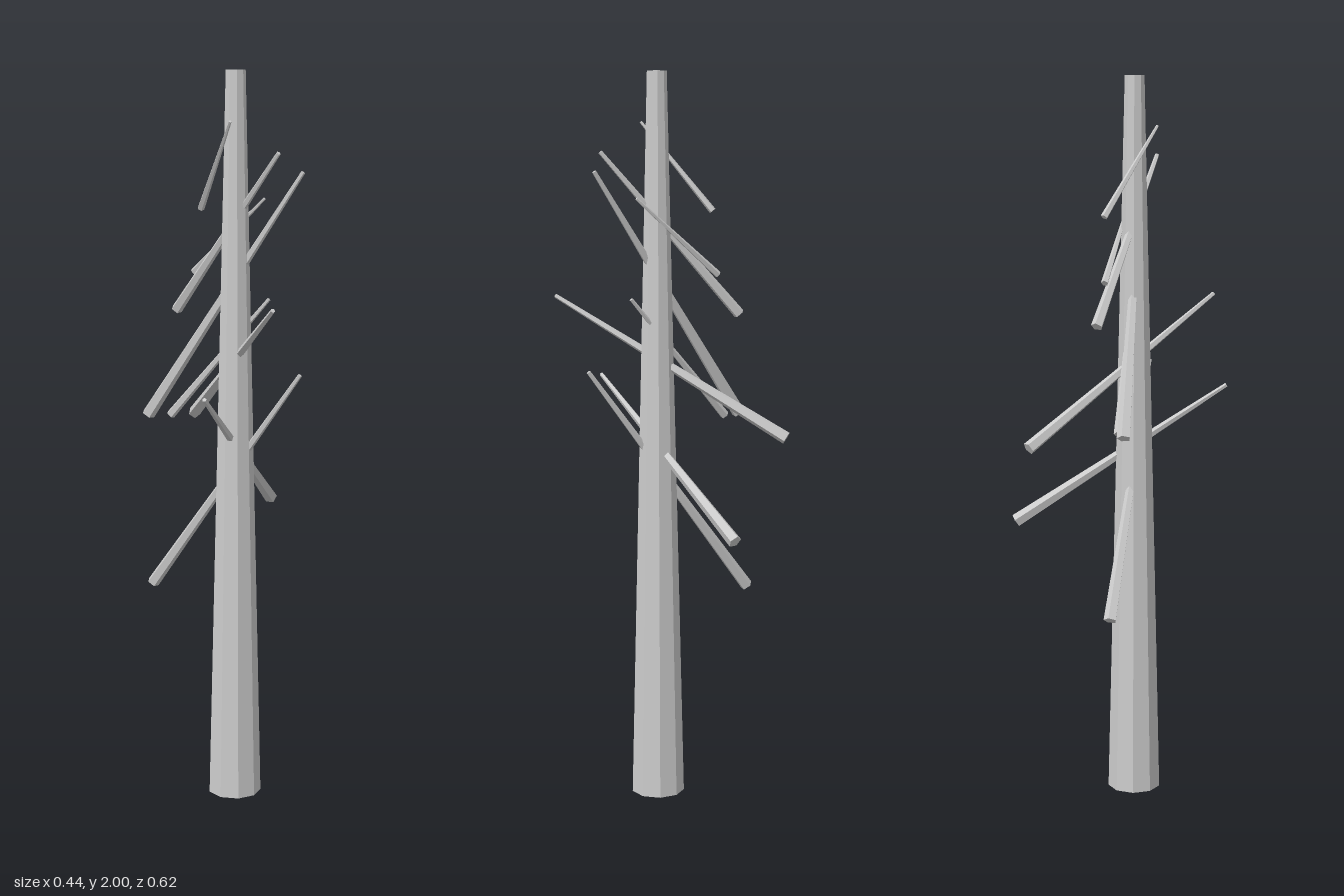
import * as THREE from 'three';

const AXIS = { x: 0.037, z: 0.036 };

// Tapered straight limb between two points, thick end first
function limb(from, to, rFrom, rTo, sides, material) {
  const a = new THREE.Vector3(...from);
  const b = new THREE.Vector3(...to);
  const dir = b.clone().sub(a);
  const geometry = new THREE.CylinderGeometry(rTo, rFrom, dir.length(), sides, 1, false, Math.PI / 2);
  const mesh = new THREE.Mesh(geometry, material);
  mesh.position.copy(a).add(b).multiplyScalar(0.5);
  mesh.quaternion.setFromUnitVectors(new THREE.Vector3(0, 1, 0), dir.normalize());
  return mesh;
}

export function createModel() {
  const group = new THREE.Group();
  group.name = 'bareTree';
  const bark = new THREE.MeshStandardMaterial({ color: 0xcccccc, flatShading: true });
  bark.name = 'greyBark';

  // Tapered trunk
  const trunk = limb([AXIS.x, 0, AXIS.z], [AXIS.x, 2, AXIS.z], 0.074, 0.027, 9, bark);
  trunk.name = 'trunk';
  group.add(trunk);

  // Branches run right through the trunk: low thick end, high thin end, radii
  const branches = [
    [[-0.2, 0.565, -0.108], [0.212, 1.205, 0.139], 0.018, 0.006],
    [[0.134, 0.778, -0.28], [-0.036, 1.162, 0.28], 0.019, 0.006],
    [[-0.09, 1.025, -0.3], [0.14, 1.397, 0.305], 0.018, 0.006],
    [[-0.208, 1.06, -0.072], [0.216, 1.737, 0.112], 0.019, 0.006],
    [[-0.145, 1.06, -0.067], [0.128, 1.398, 0.057], 0.013, 0.005],
    [[-0.13, 1.348, -0.122], [0.152, 1.787, 0.139], 0.016, 0.006],
    [[-0.08, 1.457, -0.085], [0.115, 1.665, 0.048], 0.01, 0.004],
    [[-0.06, 1.63, -0.08], [0.025, 1.867, 0.097], 0.01, 0.004],
  ];
  branches.forEach(([low, high, rLow, rHigh], i) => {
    const branch = limb(low, high, rLow, rHigh, 5, bark);
    branch.name = `branch${i + 1}`;
    group.add(branch);
  });

  return group;
}
